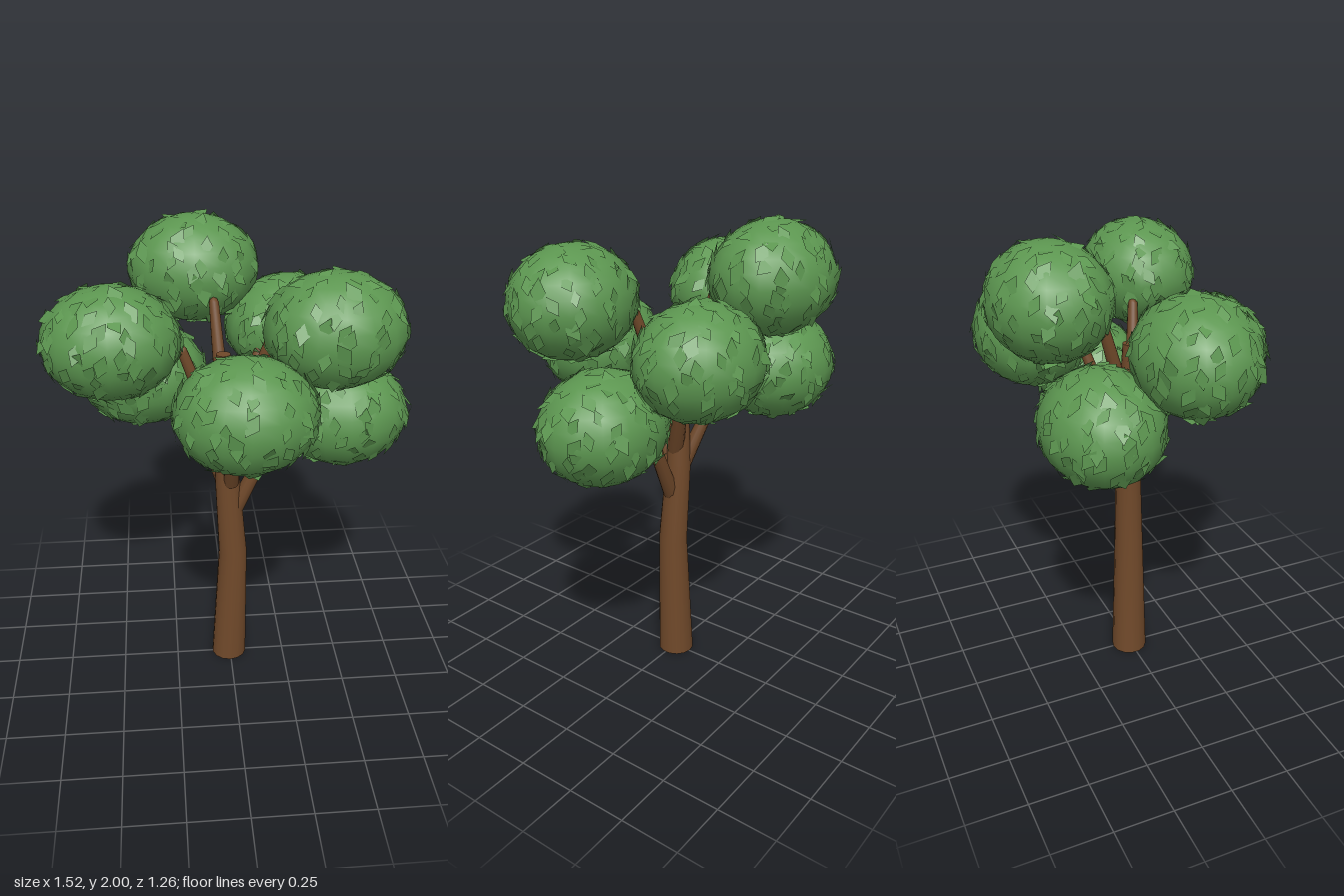
import * as THREE from 'three';
import { mergeGeometries } from 'three/addons/utils/BufferGeometryUtils.js';

const bark = new THREE.MeshStandardMaterial({ color: 0x70492a });
const leafGreen = new THREE.MeshStandardMaterial({ color: 0x5c9650, side: THREE.DoubleSide });
const UP = new THREE.Vector3(0, 1, 0);

function seeded(seed) {
  return () => (seed = (seed * 16807) % 2147483647) / 2147483647;
}

// Upright limb through rings of [x, y, z, radius]
function trunkGeometry(rings) {
  const n = rings.length - 1;
  const g = new THREE.CylinderGeometry(1, 1, 1, 14, n);
  const p = g.attributes.position;
  for (let i = 0; i < p.count; i++) {
    const [x, y, z, r] = rings[Math.round((p.getY(i) + 0.5) * n)];
    p.setXYZ(i, x + p.getX(i) * r, y, z + p.getZ(i) * r);
  }
  g.computeVertexNormals();
  return g;
}

// Tapered branch with a rounded tip, aimed from start to end
function branchMesh(start, end, r0, r1) {
  const dir = end.clone().sub(start);
  const h = dir.length();
  const profile = [[0, 0], [r0, 0], [r1, h - r1], [r1 * 0.7, h - r1 * 0.3], [0, h]];
  const g = new THREE.LatheGeometry(profile.map(([x, y]) => new THREE.Vector2(x, y)), 10);
  const mesh = new THREE.Mesh(g, bark);
  mesh.position.copy(start);
  mesh.quaternion.setFromUnitVectors(UP, dir.normalize());
  return mesh;
}

// Small diamond leaves lying almost flat on an ellipsoid
function leavesGeometry(radii, count, rand) {
  const leaves = [];
  const o = new THREE.Object3D();
  for (let i = 0; i < count; i++) {
    const y = 1 - (2 * (i + 0.5)) / count;
    const a = i * 2.39996 + rand() * 0.5;
    const s = Math.sqrt(1 - y * y);
    const n = new THREE.Vector3(s * Math.cos(a), y, s * Math.sin(a));
    o.position.copy(n).multiply(radii);
    o.lookAt(o.position.clone().add(n.divide(radii)));
    o.rotateZ((rand() - 0.5) * 1.4);
    o.rotateX((rand() - 0.5) * 0.7);
    o.rotateY((rand() - 0.5) * 0.5);
    const size = 0.8 + rand() * 0.4;
    o.scale.set(0.027 * size, 0.045 * size, 1);
    o.updateMatrix();
    leaves.push(new THREE.CircleGeometry(1, 4).applyMatrix4(o.matrix));
  }
  return mergeGeometries(leaves);
}

export function createModel() {
  const tree = new THREE.Group();
  tree.name = 'tree';

  // Slightly bent trunk
  const trunk = new THREE.Mesh(trunkGeometry([
    [-0.005, 0, -0.005, 0.079],
    [0.013, 0.58, 0, 0.063],
    [-0.01, 0.94, -0.012, 0.054],
    [-0.015, 1.25, -0.01, 0.043],
    [-0.025, 1.52, -0.01, 0.03],
  ]), bark);
  trunk.name = 'trunk';
  tree.add(trunk);

  // Foliage centres, from the lowest to the highest
  const crowns = [
    [0.47, 1.25, -0.01], [-0.36, 1.345, -0.27], [0.03, 1.43, 0.375], [0.285, 1.52, -0.325],
    [-0.47, 1.61, 0.055], [0.385, 1.69, 0.2], [-0.125, 1.77, -0.38],
  ];
  const radii = new THREE.Vector3(0.277, 0.223, 0.24);
  crowns.forEach(([x, y, z], i) => {
    // Branch spirals out of the trunk towards its foliage
    const len = Math.hypot(x, z);
    const reach = 0.26 - i * 0.015;
    const base = 0.8 + i * 0.068;
    const start = new THREE.Vector3(0.01 - i * 0.004 + (x / len) * 0.015, base, (z / len) * 0.015);
    const end = new THREE.Vector3((x / len) * reach, base + 0.5, (z / len) * reach);
    const branch = branchMesh(start, end, 0.035, 0.021);
    branch.name = `branch${i + 1}`;
    tree.add(branch);

    // Rounded clump of foliage with loose leaves
    const clump = new THREE.Group();
    clump.name = `foliage${i + 1}`;
    clump.position.set(x, y, z);
    const core = new THREE.Mesh(new THREE.SphereGeometry(1, 16, 12), leafGreen);
    core.name = 'foliageCore';
    core.scale.copy(radii);
    const leaves = new THREE.Mesh(leavesGeometry(radii, 130, seeded(101 + i * 977)), leafGreen);
    leaves.name = 'leaves';
    clump.add(core, leaves);
    tree.add(clump);
  });
  return tree;
}
